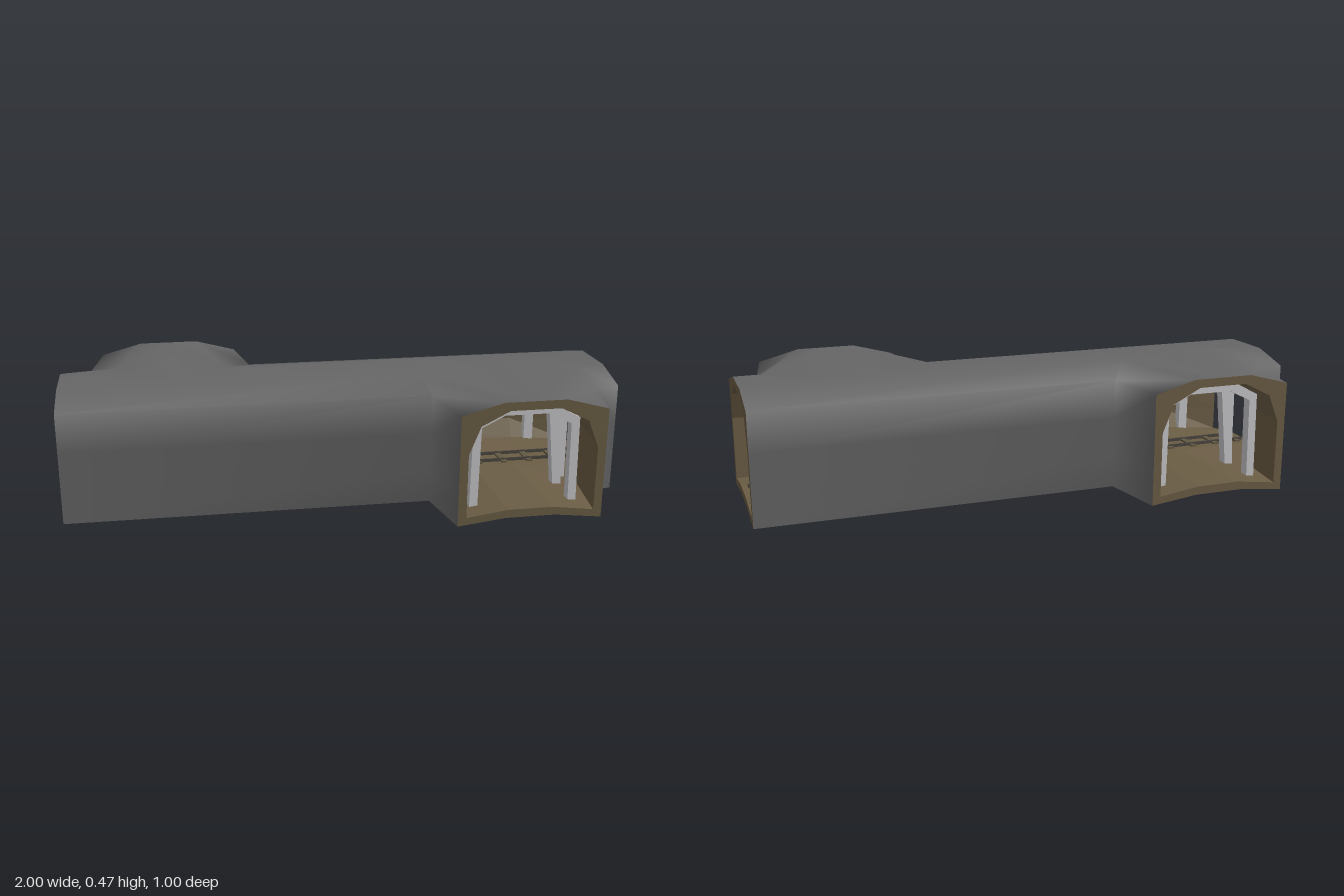
import * as THREE from 'three';
import { mergeVertices } from 'three/addons/utils/BufferGeometryUtils.js';

const mat = (name, color, side = THREE.FrontSide) => {
  const m = new THREE.MeshStandardMaterial({ color, side });
  m.name = name;
  return m;
};

// Half profiles from floor centre to roof centre, one row per point:
// [height, half width of main tunnel, z of the groin, half width of groin along x, half width at branch end]
const OUTER = [
  [0.02, 0, 0, 0, 0], [0.02, 0.08, 0.08, 0.08, 0.09], [0, 0.25, 0.26, 0.3, 0.26],
  [0.12, 0.25, 0.26, 0.3, 0.26], [0.26, 0.25, 0.26, 0.3, 0.26], [0.4, 0.25, 0.26, 0.3, 0.26],
  [0.44, 0.1, 0.1, 0.3, 0.11], [0.44, 0, 0, 0, 0],
];
const INNER = [
  [0.05, 0, 0, 0, 0], [0.05, 0.08, 0.08, 0.08, 0.08], [0.03, 0.22, 0.22, 0.27, 0.23],
  [0.12, 0.22, 0.22, 0.27, 0.23], [0.26, 0.22, 0.22, 0.27, 0.23], [0.36, 0.18, 0.18, 0.23, 0.19],
  [0.41, 0.085, 0.085, 0.1, 0.09], [0.41, 0, 0, 0, 0],
];
// Lining along the long wall, where rubble slopes up against it: [height, half width]
const LONG_WALL = [
  [0.05, 0], [0.05, 0.075], [0.07, 0.17], [0.14, 0.207],
  [0.26, 0.203], [0.36, 0.174], [0.402, 0.085], [0.41, 0],
];
// Height of the hollow underside at the centre and near it
const UNDER_Y = 0.04;
const LAST = OUTER.length - 1;
const BRANCH_X = 0.6;

// Outlines of a profile: main tunnel end, groin where the tunnels meet, branch end
function outlines(profile, d) {
  return {
    end: profile.map(([y, w]) => [d, y, w]),
    groin: profile.map(([y, , z, w]) => [BRANCH_X + d * w, y, z]),
    mouth: profile.map(([y, , , , w]) => [BRANCH_X + d * w, y, 0.5]),
  };
}

function surface(name, material, smooth = false) {
  const pos = [];
  const tri = (a, b, c, flip) => pos.push(...a, ...(flip ? c : b), ...(flip ? b : c));
  return {
    tri,
    // Strip of quads between two outlines
    strip(a, b, flip, from = 0, to = LAST) {
      for (let i = from; i < to; i++) {
        tri(a[i], a[i + 1], b[i + 1], flip);
        tri(a[i], b[i + 1], b[i], flip);
      }
    },
    mesh() {
      let g = new THREE.BufferGeometry();
      g.setAttribute('position', new THREE.Float32BufferAttribute(pos, 3));
      if (smooth) g = mergeVertices(g);
      g.computeVertexNormals();
      const m = new THREE.Mesh(g, material);
      m.name = name;
      return m;
    },
  };
}

export function createModel() {
  const rock = mat('rock grey', 0x666666, THREE.DoubleSide);
  const earth = mat('earth brown', 0x6b5d45);
  const support = mat('support grey', 0xc8c8cb);
  const iron = mat('rail iron', 0x4a463f);
  const wood = mat('sleeper wood', 0x625844);
  const root = new THREE.Group();
  root.name = 'tunnel';

  // Half of the tunnel: z >= 0 of the main bore with its side branch
  function halfShell(name, raised) {
    const half = new THREE.Group();
    half.name = name;
    const shell = surface('outerShell', rock, true);
    const under = surface('underside', earth);
    const lining = surface('innerLining', earth);
    const rims = surface('openingRims', earth);
    for (const d of [-1, 1]) {
      const o = outlines(OUTER, d), n = outlines(INNER, d), flip = d < 0;
      const ridge = [...o.groin];
      if (raised) {
        // Roof swells to a low peak where the branch joins
        o.groin[LAST - 1] = ridge[LAST - 1] = [BRANCH_X + d * 0.2, d > 0 ? 0.453 : 0.44, 0.1];
        ridge[LAST] = [BRANCH_X, 0.465, 0.1];
        shell.tri(o.groin[LAST - 1], o.groin[LAST], ridge[LAST], flip);
      }
      shell.strip(o.end, o.groin, flip, 2);
      shell.strip(ridge, o.mouth, flip, 2);

      // Underside rises behind the rims and along the long wall: [x, edge height]
      const rises = d < 0 ? [[-0.96, 0.015], [-0.65, 0.025], [-0.35, 0.06], [0.2, 0.06]] : [[0.96, 0.015]];
      const hollow = rises.map(([x, edge]) => [[x, UNDER_Y, 0], [x, UNDER_Y, 0.08], [x, edge, 0.25]]);
      const meet = o.groin.slice(0, 3).map(([x, , z], i) => [x, i < 2 ? UNDER_Y : 0.015, z]);
      const inset = o.mouth.slice(0, 3).map(([x, , z], i) => [x, i < 2 ? UNDER_Y : 0.015, z - 0.04]);
      const base = [o.end, ...hollow, meet, inset, o.mouth];
      for (let i = 1; i < base.length; i++) under.strip(base[i - 1], base[i], flip, 0, 2);

      // The long stretch of lining passes through the rubble profile
      const stations = (d < 0 ? [-0.75, 0.15] : []).map((x) => LONG_WALL.map(([y, z]) => [x, y, z]));
      const line = [n.end, ...stations, n.groin, n.mouth];
      for (let i = 1; i < line.length; i++) lining.strip(line[i - 1], line[i], !flip);
      rims.strip(o.end, n.end, !flip);
      rims.strip(o.mouth, n.mouth, flip);
    }
    half.add(shell.mesh(), under.mesh(), lining.mesh(), rims.mesh());
    return half;
  }
  const front = halfShell('frontHalf', false), back = halfShell('backHalf', true);
  back.rotation.y = Math.PI;
  root.add(front, back);

  // Arched support frame: outer path up and over, inner path back
  const flipX = (pts) => pts.map(([x, y]) => [-x, y]).reverse();
  function frameGeometry(outer, inner) {
    const shape = new THREE.Shape(
      [...outer, ...flipX(outer), ...flipX(inner), ...inner].map(([x, y]) => new THREE.Vector2(x, y)));
    return new THREE.ExtrudeGeometry(shape, { depth: 0.036, bevelEnabled: false }).translate(0, 0, -0.018);
  }
  const upright = frameGeometry(
    [[0.197, 0.012], [0.192, 0.345], [0.09, 0.4]], [[0.08, 0.366], [0.162, 0.325], [0.167, 0.012]]);
  const leaning = frameGeometry(
    [[0.2, 0.012], [0.172, 0.355], [0.085, 0.398]], [[0.07, 0.35], [0.137, 0.328], [0.168, 0.012]]);
  function frame(geometry, x, z, turn) {
    const m = new THREE.Mesh(geometry, support);
    m.name = 'supportFrame';
    m.position.set(x, 0, z);
    m.rotation.y = turn;
    root.add(m);
  }
  for (const x of [-0.82, 0.82]) frame(upright, x, 0, Math.PI / 2);
  for (const x of [-0.28, 0, 0.28]) frame(leaning, x, 0, Math.PI / 2);
  for (const s of [-1, 1]) {
    frame(upright, s * BRANCH_X, s * 0.4, 0);
    frame(leaning, s * BRANCH_X, s * 0.25, 0);
    // Single post on the wall facing each branch
    const post = new THREE.Mesh(new THREE.BoxGeometry(0.036, 0.35, 0.03), support);
    post.name = 'wallPost';
    post.position.set(s * 0.57, 0.187, -s * 0.18);
    post.rotation.x = s * 0.06;
    root.add(post);
  }

  // Track along the main bore
  for (const s of [-1, 1]) {
    const rail = new THREE.Mesh(new THREE.BoxGeometry(1.96, 0.012, 0.006), iron);
    rail.name = 'rail';
    rail.position.set(0, 0.056, s * 0.037);
    root.add(rail);
  }
  const sleeperGeo = new THREE.BoxGeometry(0.022, 0.01, 0.115);
  for (let i = 0; i < 20; i++) {
    const sleeper = new THREE.Mesh(sleeperGeo, wood);
    sleeper.name = 'sleeper';
    sleeper.position.set(-0.95 + i * 0.1, 0.052, 0);
    root.add(sleeper);
  }
  return root;
}
